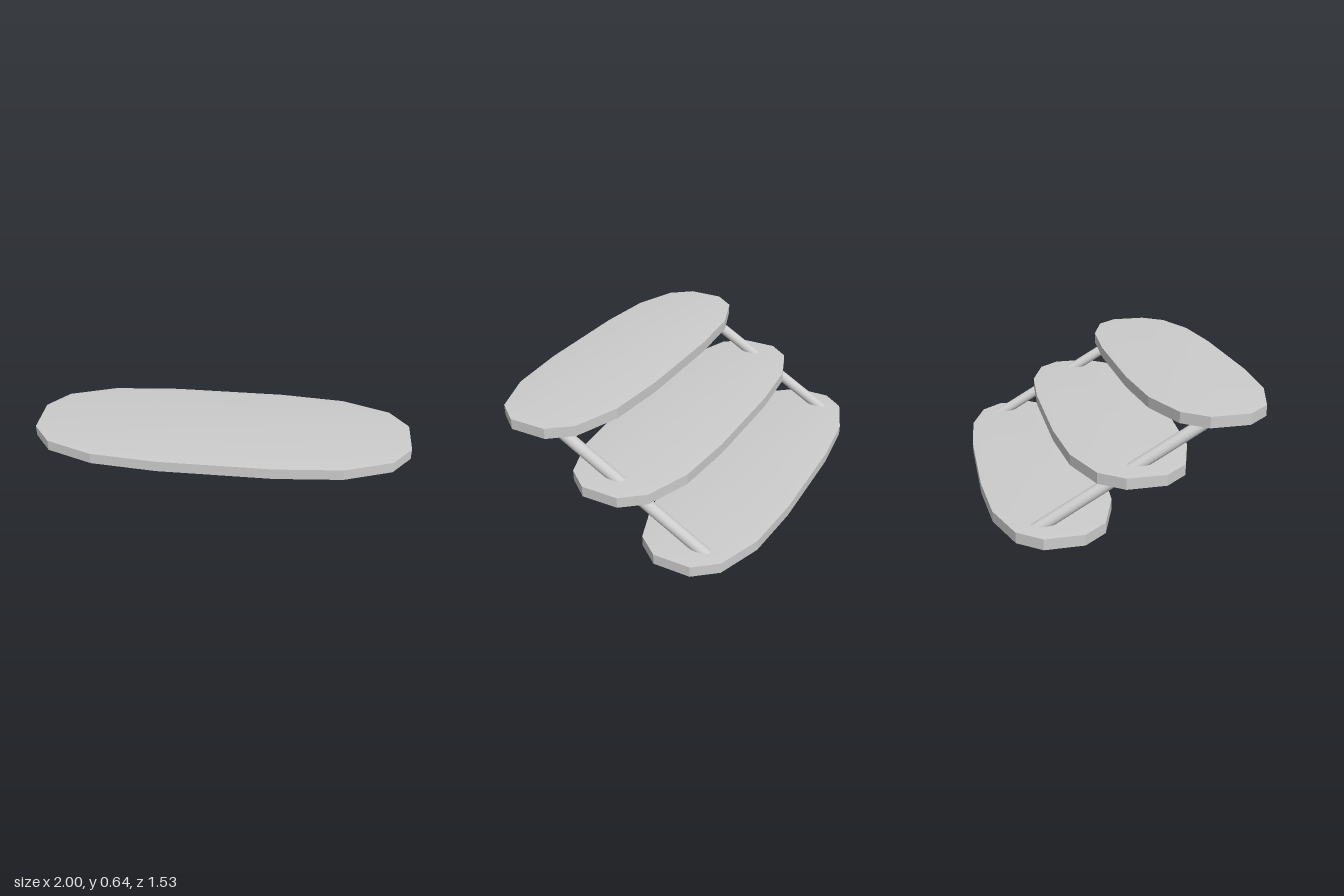
import * as THREE from 'three';
import { toCreasedNormals } from 'three/addons/utils/BufferGeometryUtils.js';

const material = new THREE.MeshStandardMaterial({ color: 0xcccccc });

// Faceted oval outline, mirrored from one quarter
function outline() {
  const q = [[1, 0.105], [0.9, 0.23], [0.65, 0.32], [0.3, 0.35]];
  const half = [...q, ...q.map(([x, z]) => [-x, z]).reverse()];
  return [...half, ...half.map(([x, z]) => [-x, -z])];
}

// Board from stacked loops: slightly crowned faces and a straight rim
function shelfGeometry() {
  const points = outline();
  const n = points.length;
  const loops = [[0.92, -0.035], [1, -0.03], [1, 0.03], [0.92, 0.035]];
  const pos = [];
  const index = [];
  for (const [inset, y] of loops) {
    const d = 1 - inset;
    for (const [x, z] of points) pos.push(x * (1 - d * 0.8), y, z * (1 - d * 1.5));
  }
  for (let l = 0; l < loops.length - 1; l++) {
    for (let i = 0; i < n; i++) {
      const a = l * n + i, b = l * n + (i + 1) % n;
      index.push(a, a + n, b, b, a + n, b + n);
    }
  }
  // Caps
  const bottom = pos.length / 3, top = bottom + 1;
  pos.push(0, -0.035, 0, 0, 0.035, 0);
  for (let i = 0; i < n; i++) {
    const j = (i + 1) % n, t = (loops.length - 1) * n;
    index.push(bottom, i, j, top, t + j, t + i);
  }
  const g = new THREE.BufferGeometry();
  g.setAttribute('position', new THREE.Float32BufferAttribute(pos, 3));
  g.setIndex(index);
  return toCreasedNormals(g, 0.16);
}

export function createModel() {
  const group = new THREE.Group();

  // Three stepped shelves, rising towards the front
  const shelf = shelfGeometry();
  const levels = [['bottomShelf', 0.036, -0.418], ['middleShelf', 0.319, -0.003], ['topShelf', 0.605, 0.416]];
  for (const [name, y, z] of levels) {
    const mesh = new THREE.Mesh(shelf, material);
    mesh.name = name;
    mesh.position.set(0, y, z);
    group.add(mesh);
  }

  // Slanted round rods joining the shelves
  const from = new THREE.Vector3(0, 0.042, -0.55);
  const to = new THREE.Vector3(0, 0.6, 0.43);
  const dir = to.clone().sub(from);
  const rod = new THREE.CylinderGeometry(0.033, 0.033, dir.length(), 24);
  for (const [name, x] of [['leftRod', 0.853], ['rightRod', -0.853]]) {
    const mesh = new THREE.Mesh(rod, material);
    mesh.name = name;
    mesh.position.copy(from).lerp(to, 0.5).setX(x);
    mesh.quaternion.setFromUnitVectors(new THREE.Vector3(0, 1, 0), dir.clone().normalize());
    group.add(mesh);
  }
  return group;
}
